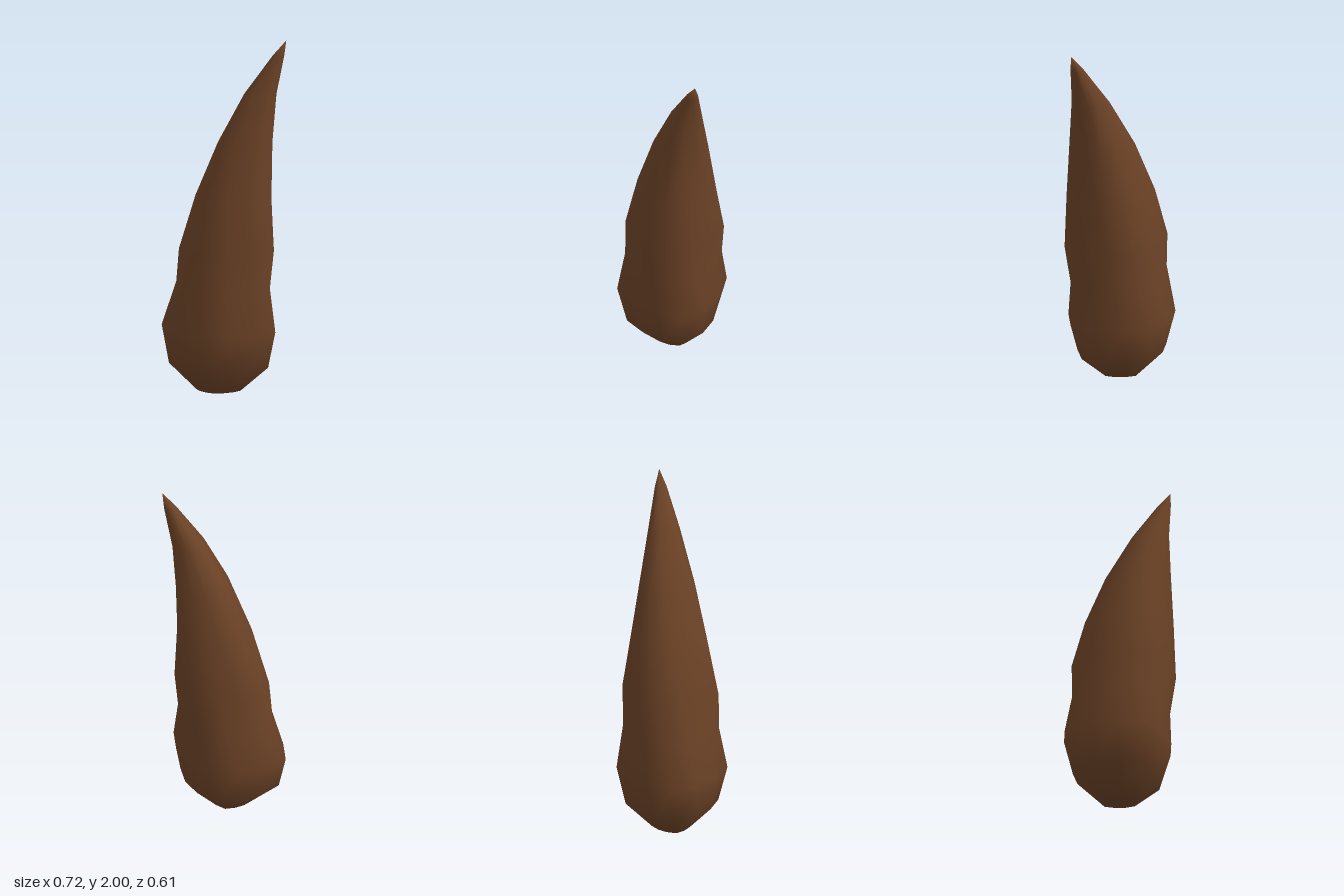
import * as THREE from 'three';

const SIDES = 12;
const TWIST = THREE.MathUtils.degToRad(30); // twist per unit of height

// Horn cross-sections from base to point: [height, centre x, radius]
const RINGS = [
  [0, -0.025, 0.125],
  [0.14, -0.025, 0.286],
  [0.35, -0.025, 0.34],
  [0.59, 0, 0.296],
  [0.8, 0.02, 0.303],
  [1.1, 0.06, 0.25],
  [1.41, 0.125, 0.183],
  [1.69, 0.2125, 0.107],
  [1.91, 0.315, 0.039],
];
const TIP = [0.36, 2, 0];

function hornGeometry() {
  const positions = [];
  const index = [];

  // Slightly oval rings with four raised ridges, twisting as they rise
  for (const [y, cx, r] of RINGS) {
    const turn = y * TWIST;
    for (let k = 0; k < SIDES; k++) {
      const t = (k / SIDES) * Math.PI * 2;
      const ridge = k % 3 === 0 ? 1 : 0.9;
      const x = r * ridge * Math.cos(t);
      const z = r * ridge * 0.91 * Math.sin(t);
      positions.push(
        cx + x * Math.cos(turn) - z * Math.sin(turn),
        y,
        x * Math.sin(turn) + z * Math.cos(turn)
      );
    }
  }
  const base = RINGS.length * SIDES;
  const tip = base + 1;
  positions.push(RINGS[0][1], 0, 0, ...TIP);

  // Sides, closed base and pointed tip
  const last = (RINGS.length - 1) * SIDES;
  for (let k = 0; k < SIDES; k++) {
    const n = (k + 1) % SIDES;
    for (let row = 0; row < last; row += SIDES) {
      const a = row + k, b = row + n, c = a + SIDES, d = b + SIDES;
      index.push(a, c, b, b, c, d);
    }
    index.push(base, k, n);
    index.push(last + k, tip, last + n);
  }

  const geometry = new THREE.BufferGeometry();
  geometry.setAttribute('position', new THREE.Float32BufferAttribute(positions, 3));
  geometry.setIndex(index);
  geometry.computeVertexNormals();
  return geometry;
}

export function createModel() {
  const group = new THREE.Group();
  group.name = 'curvedHorn';

  const brown = new THREE.MeshStandardMaterial({ color: 0x6b4226 });
  brown.name = 'brown';

  const horn = new THREE.Mesh(hornGeometry(), brown);
  horn.name = 'horn';
  group.add(horn);
  return group;
}
